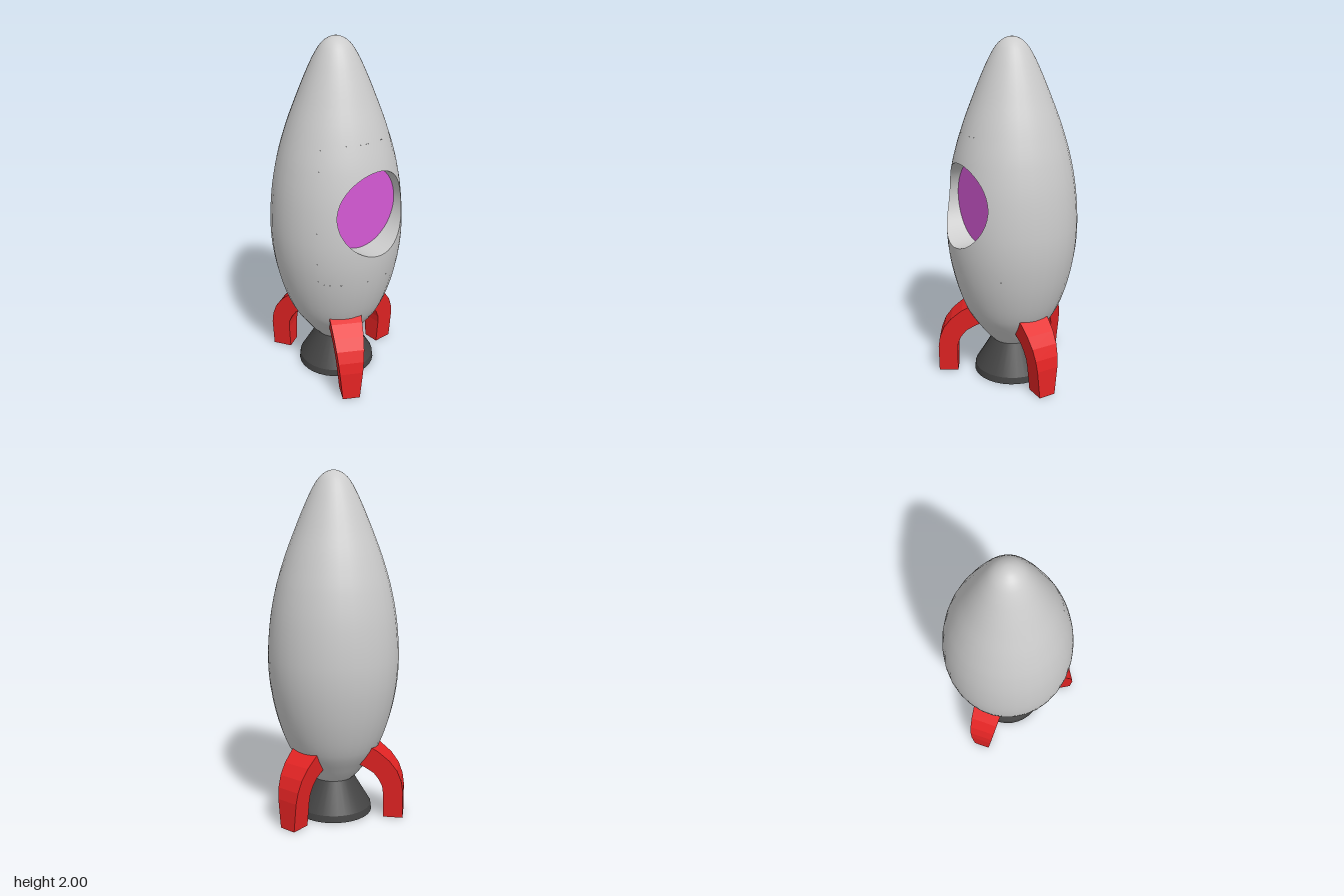
import * as THREE from 'three';
import { ParametricGeometry } from 'three/addons/geometries/ParametricGeometry.js';

const paint = (name, color, side = THREE.FrontSide) => {
  const m = new THREE.MeshStandardMaterial({ color, side });
  m.name = name;
  return m;
};

// Hull radius by height: squared radii are interpolated so the nose stays round
const HULL = [
  [0.21, 0.12], [0.3, 0.195], [0.41, 0.268], [0.55, 0.322], [0.68, 0.355], [0.81, 0.375],
  [0.94, 0.381], [1.15, 0.367], [1.33, 0.335], [1.5, 0.286], [1.67, 0.222], [1.8, 0.168],
  [1.9, 0.12], [1.96, 0.08], [1.99, 0.04], [2, 0],
];
const spline = new THREE.CubicInterpolant(HULL.map(p => p[0]), HULL.map(p => p[1] ** 2), 1, [0]);
const radius = y => Math.sqrt(Math.max(0, spline.evaluate(THREE.MathUtils.clamp(y, 0.21, 2))[0]));

const SEG = 32;
const WIN = { y: 1.09, r: 0.238, floor: 0.23 };
const PATCH = { phi: (5 * 2 * Math.PI) / SEG, h: 0.39 };

// Exact smooth normals, so the hull sections join without seams
function smoothHull(geo) {
  const p = geo.attributes.position, n = geo.attributes.normal, v = new THREE.Vector3();
  for (let i = 0; i < p.count; i++) {
    const y = p.getY(i), a = Math.max(0.21, y - 0.002), b = Math.min(2, y + 0.002);
    const slope = (radius(b) - radius(a)) / (b - a);
    const phi = Math.atan2(p.getX(i), p.getZ(i));
    v.set(Math.sin(phi), -slope, Math.cos(phi)).normalize();
    if (y > 1.9999) v.set(0, 1, 0);
    n.setXYZ(i, v.x, v.y, v.z);
  }
  return geo;
}

function hullBand(y0, y1, steps, ease, segs = SEG, start = 0, length = Math.PI * 2) {
  const pts = [];
  for (let i = 0; i <= steps; i++) {
    const y = y0 + (y1 - y0) * ease(i / steps);
    pts.push(new THREE.Vector2(radius(y), y));
  }
  return smoothHull(new THREE.LatheGeometry(pts, segs, start, length));
}

// Point on the round window rim, where its bore meets the hull
function rim(v, target) {
  const x = WIN.r * Math.cos(v * 2 * Math.PI), y = WIN.y + WIN.r * Math.sin(v * 2 * Math.PI);
  return target.set(x, y, Math.sqrt(radius(y) ** 2 - x * x));
}

// Hull panel blending from the round rim out to a rectangular border
function windowPanel() {
  return smoothHull(new ParametricGeometry((u, v, t) => {
    rim(v, t);
    const c = Math.cos(v * 2 * Math.PI), s = Math.sin(v * 2 * Math.PI);
    const m = Math.max(Math.abs(c), Math.abs(s));
    const phi = THREE.MathUtils.lerp(Math.atan2(t.x, t.z), (PATCH.phi * c) / m, u);
    const y = THREE.MathUtils.lerp(t.y, WIN.y + (PATCH.h * s) / m, u);
    t.set(radius(y) * Math.sin(phi), y, radius(y) * Math.cos(phi));
  }, 8, 48));
}

// Recess wall from the window pane out to the rim
function windowWall() {
  return new ParametricGeometry((u, v, t) => {
    rim(v, t);
    t.z = THREE.MathUtils.lerp(WIN.floor, t.z, u);
  }, 1, 48);
}

// Curved leg, wide at the hull and narrow at the foot
function legGeometry(out, sideways) {
  const outline = [
    [0.28, 0], [0.395, 0], [0.395, 0.17], [0.385, 0.235], [0.36, 0.3], [0.315, 0.36], [0.25, 0.415],
    [0.19, 0.45], [0.11, 0.345], [0.175, 0.312], [0.225, 0.28], [0.255, 0.24], [0.275, 0.195], [0.28, 0.15],
  ];
  const shape = new THREE.Shape(outline.map(p => new THREE.Vector2(...p)));
  const geo = new THREE.ExtrudeGeometry(shape, { depth: 2, bevelEnabled: false }).translate(0, 0, -1);
  const p = geo.attributes.position;
  for (let i = 0; i < p.count; i++) p.setZ(i, p.getZ(i) * (0.05 + 0.1 * p.getY(i)));
  geo.computeVertexNormals();
  return geo.translate(out, 0, sideways);
}

export function createModel() {
  const model = new THREE.Group();
  model.name = 'rocket';
  const grey = paint('hullGrey', 0xcccccc, THREE.DoubleSide);
  const red = paint('legRed', 0xe52424);
  const dark = paint('nozzleDark', 0x444444);
  const pink = paint('windowMagenta', 0xd65ad6);
  const add = (parent, name, geo, mat) => {
    const mesh = new THREE.Mesh(geo, mat);
    mesh.name = name;
    parent.add(mesh);
    return mesh;
  };

  const body = new THREE.Group();
  body.name = 'body';
  body.position.set(-0.016, 0, -0.005);
  model.add(body);

  // Hull: tail, nose, and a middle band with the window panel set in
  const lo = WIN.y - PATCH.h, hi = WIN.y + PATCH.h, linear = t => t;
  add(body, 'hullTail', hullBand(0.21, lo, 12, linear), grey);
  add(body, 'hullNose', hullBand(hi, 2, 16, t => Math.sin((t * Math.PI) / 2)), grey);
  add(body, 'hullMiddle', hullBand(lo, hi, 16, linear, SEG - 10, PATCH.phi, 2 * Math.PI - 2 * PATCH.phi), grey);
  add(body, 'windowPanel', windowPanel(), grey);

  // Recessed round window
  add(body, 'windowRecess', windowWall(), grey);
  add(body, 'windowPane', new THREE.CircleGeometry(WIN.r, 48), pink).position.set(0, WIN.y, WIN.floor);

  // Nozzle: flared cone with a short straight lip and a closed base
  add(body, 'nozzleCone', new THREE.CylinderGeometry(0.12, 0.225, 0.175, SEG).translate(0, 0.1275, 0), dark);
  add(body, 'nozzleLip', new THREE.CylinderGeometry(0.225, 0.23, 0.04, SEG).translate(0, 0.02, 0), dark);

  // Three legs: turn, outward shift, sideways shift
  const legs = [['leftLeg', 0, 0, 0], ['frontRightLeg', -120, 0.055, 0.01], ['backRightLeg', 120, 0.042, 0.033]];
  for (const [name, turn, out, sideways] of legs) {
    add(model, name, legGeometry(out, sideways), red).rotation.y = THREE.MathUtils.degToRad(turn);
  }
  return model;
}
